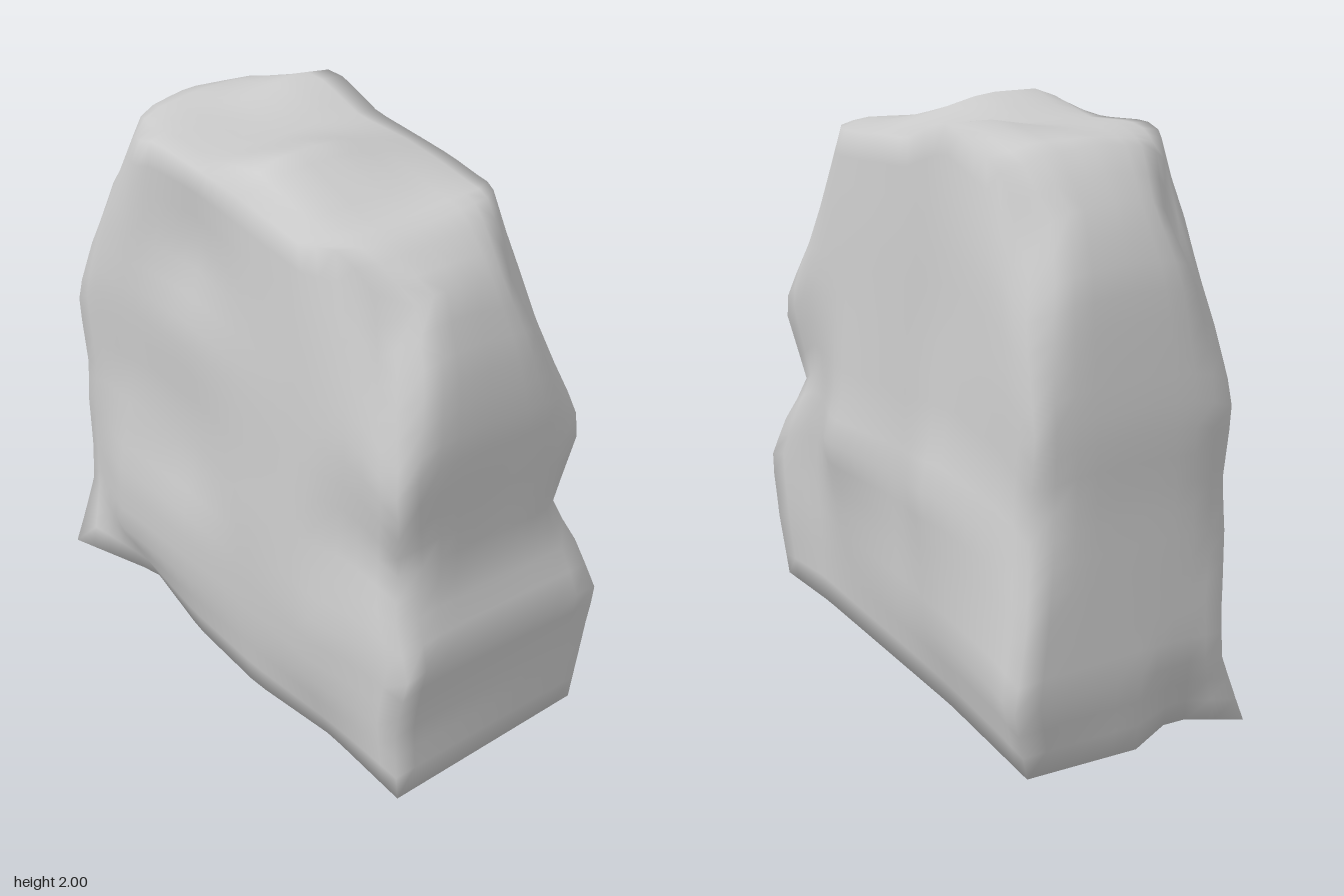
import * as THREE from 'three';
import { mergeVertices } from 'three/addons/utils/BufferGeometryUtils.js';

// Linear interpolation through [position, value] pairs
function along(points, t) {
  if (t <= points[0][0]) return points[0][1];
  for (let i = 1; i < points.length; i++) {
    const [a, p] = points[i - 1], [b, q] = points[i];
    if (t <= b) return p + (q - p) * (t - a) / (b - a);
  }
  return points[points.length - 1][1];
}

// Bilinear lookup in a small table of relief values
const relief = ({ columns, rows, values }, s, t) =>
  along(rows.map((r, i) => [r, along(columns.map((c, j) => [c, values[i][j]]), s)]), t);

// Flank position up the height
const rightFlank = [[0, 0.96], [0.27, 1], [0.55, 0.97], [0.85, 0.94], [1.1, 0.93], [1.4, 0.89], [1.58, 0.86], [1.78, 0.77]];
const leftFlank = [[0, 0.955], [0.3, 0.97], [0.53, 1], [0.75, 0.92], [0.95, 0.91], [1.3, 0.9], [1.52, 0.86], [1.74, 0.76]];

// Height of the crown: columns go from -x to +x, rows from back to front
const crown = {
  columns: [-1, -0.82, -0.48, -0.15, 0.16, 0.58, 0.78, 1],
  rows: [-1, -0.6, 0.1, 0.7, 1],
  values: [
    [1.70, 1.88, 2.00, 1.91, 1.89, 1.86, 1.86, 1.66],
    [1.76, 1.93, 2.00, 1.92, 1.93, 1.88, 1.87, 1.70],
    [1.78, 1.95, 1.95, 1.93, 2.00, 1.88, 1.86, 1.74],
    [1.76, 1.92, 1.95, 1.93, 2.00, 1.88, 1.86, 1.74],
    [1.70, 1.87, 1.94, 1.92, 1.91, 1.86, 1.86, 1.66],
  ],
};

// Depth of the front and back faces: columns go from -x to +x, rows go up
const rows = [0, 0.15, 0.28, 0.4, 0.5, 0.68, 0.83, 1];
const front = {
  columns: [-1, -0.6, -0.2, 0.2, 0.6, 1],
  rows,
  values: [
    [0.43, 0.31, 0.39, 0.42, 0.39, 0.42],
    [0.33, 0.46, 0.46, 0.46, 0.47, 0.42],
    [0.33, 0.47, 0.47, 0.47, 0.49, 0.41],
    [0.36, 0.44, 0.42, 0.47, 0.47, 0.39],
    [0.37, 0.42, 0.41, 0.46, 0.46, 0.35],
    [0.37, 0.43, 0.43, 0.45, 0.44, 0.40],
    [0.34, 0.42, 0.36, 0.42, 0.42, 0.34],
    [0.24, 0.40, 0.39, 0.40, 0.39, 0.25],
  ],
};
const back = {
  columns: [-1, -0.4, -0.13, 0.38, 0.65, 1],
  rows,
  values: [
    [0.41, 0.38, 0.38, 0.38, 0.38, 0.40],
    [0.48, 0.46, 0.43, 0.41, 0.39, 0.43],
    [0.43, 0.47, 0.43, 0.44, 0.39, 0.44],
    [0.39, 0.49, 0.44, 0.50, 0.40, 0.41],
    [0.37, 0.44, 0.42, 0.46, 0.40, 0.34],
    [0.36, 0.41, 0.41, 0.43, 0.41, 0.41],
    [0.34, 0.40, 0.40, 0.41, 0.39, 0.33],
    [0.27, 0.38, 0.38, 0.38, 0.36, 0.24],
  ],
};

export function createModel() {
  const group = new THREE.Group();

  // Shape a subdivided block into a weathered upright slab
  let geometry = new THREE.BoxGeometry(2, 2, 2, 24, 20, 10);
  geometry.deleteAttribute('normal');
  geometry.deleteAttribute('uv');
  geometry = mergeVertices(geometry);
  const pos = geometry.attributes.position;
  for (let i = 0; i < pos.count; i++) {
    const u = pos.getX(i), v = (pos.getY(i) + 1) / 2, w = pos.getZ(i);
    const y = v * relief(crown, u, w);

    // Width: foot widest at the back, upright corners softened higher up
    let half = u < 0 ? along(rightFlank, v * 1.78) : along(leftFlank, v * 1.74);
    half -= 0.025 * (w + 1) * Math.min(1, v * 6) * Math.max(0, 1 - v * 1.5);
    half -= 0.05 * Math.pow(Math.abs(w), 6) * along([[0.3, 0], [0.5, 1], [0.66, 0.2], [0.85, 1.4]], v);

    // Hollow that leaves a pointed foot at one front corner
    if (u < 0) half -= 0.12 * Math.max(0, 1 - Math.abs(w - 0.5) / 0.5) * Math.max(0, 1 - v * 6);

    const z = w * relief(w > 0 ? front : back, u, v);
    pos.setXYZ(i, u * half, y, z);
  }
  geometry.computeVertexNormals();

  const boulder = new THREE.Mesh(geometry, new THREE.MeshStandardMaterial({ color: 0xcccccc }));
  boulder.name = 'boulder';
  group.add(boulder);
  return group;
}
